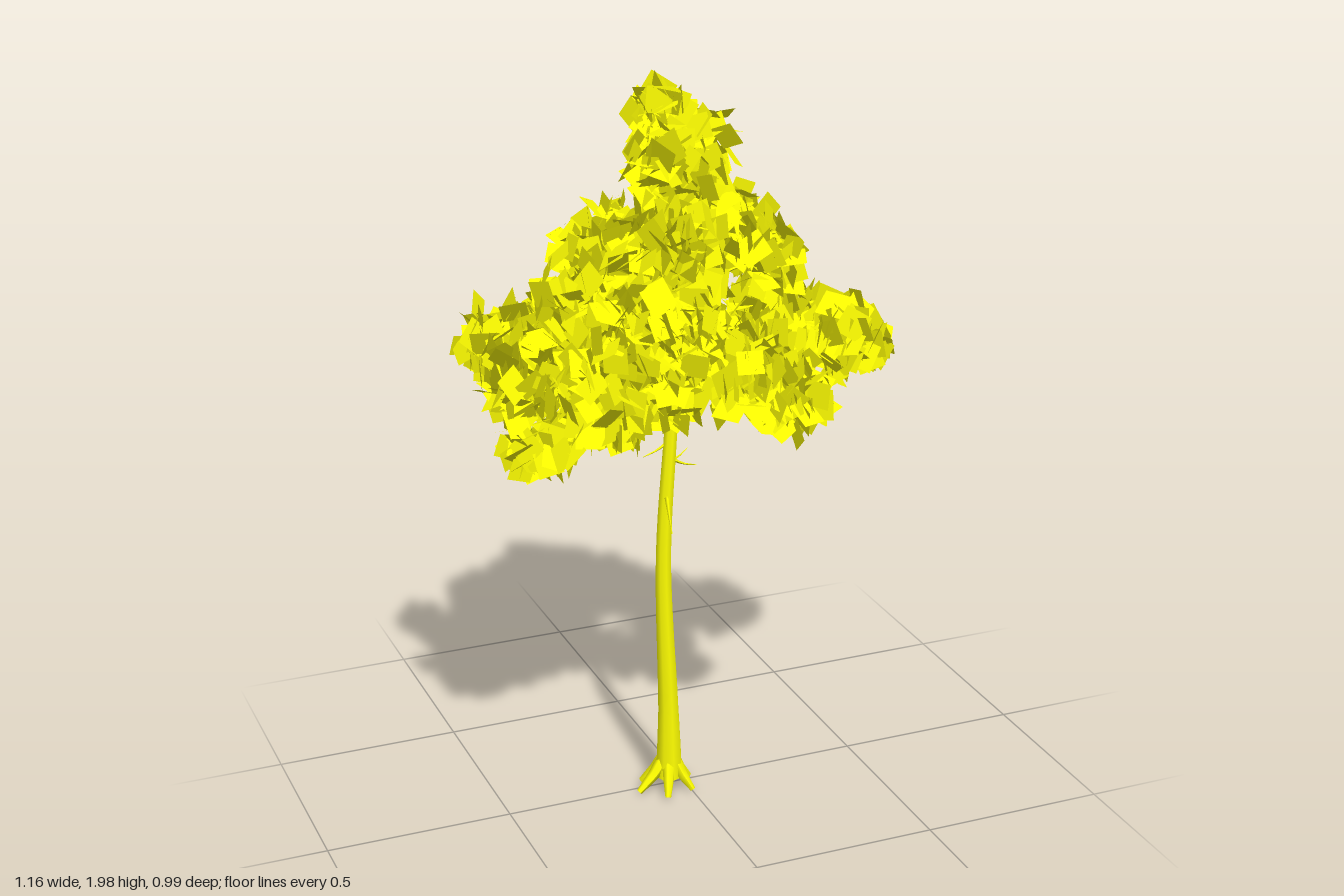
import * as THREE from 'three';
import { mergeGeometries } from 'three/addons/utils/BufferGeometryUtils.js';

const bark = new THREE.MeshStandardMaterial({ color: 0xffff00 });
const foliage = new THREE.MeshStandardMaterial({ color: 0xffff00, side: THREE.DoubleSide });

// Small seeded random generator, 0..1
let seed = 7;
function rand() {
  seed = (seed * 1664525 + 1013904223) % 4294967296;
  return seed / 4294967296;
}

// Tube along points whose radius follows a list of values from start to end
function taperedTube(points, radii, segments, sides) {
  const curve = new THREE.CatmullRomCurve3(points.map(p => new THREE.Vector3(...p)));
  const geo = new THREE.TubeGeometry(curve, segments, 1, sides);
  const pos = geo.attributes.position;
  const v = new THREE.Vector3();
  for (let i = 0; i <= segments; i++) {
    const c = curve.getPointAt(i / segments);
    const f = (i / segments) * (radii.length - 1);
    const k = Math.min(Math.floor(f), radii.length - 2);
    const r = THREE.MathUtils.lerp(radii[k], radii[k + 1], f - k);
    for (let j = 0; j <= sides; j++) {
      const n = i * (sides + 1) + j;
      v.fromBufferAttribute(pos, n).sub(c).multiplyScalar(r).add(c);
      pos.setXYZ(n, v.x, v.y, v.z);
    }
  }
  geo.computeVertexNormals();
  return geo;
}

// Round leaf clumps: centre x, y, z and outer radius
const clumps = [
  [-0.07, 1.89, -0.01, 0.10],
  [-0.09, 1.80, 0.09, 0.12],
  [0.05, 1.79, -0.01, 0.12],
  [-0.01, 1.66, 0.05, 0.17],
  [-0.13, 1.58, 0.14, 0.15],
  [0.06, 1.61, -0.12, 0.15],
  [0.19, 1.55, -0.08, 0.13],
  [0.20, 1.50, 0.05, 0.12],
  [-0.15, 1.50, -0.17, 0.15],
  [-0.06, 1.46, 0.04, 0.18],
  [-0.28, 1.45, 0.02, 0.15],
  [-0.23, 1.43, 0.27, 0.14],
  [-0.11, 1.40, 0.29, 0.13],
  [-0.44, 1.29, -0.15, 0.14],
  [-0.44, 1.27, 0.05, 0.14],
  [-0.43, 1.11, 0.11, 0.12],
  [-0.28, 1.23, 0.12, 0.16],
  [-0.27, 1.28, -0.12, 0.16],
  [-0.22, 1.14, 0.08, 0.12],
  [-0.10, 1.23, 0.10, 0.15],
  [-0.23, 1.21, -0.37, 0.13],
  [-0.13, 1.19, -0.38, 0.12],
  [-0.16, 1.29, -0.22, 0.13],
  [0.14, 1.24, 0.36, 0.13],
  [0.05, 1.27, 0.28, 0.14],
  [0.17, 1.20, 0.20, 0.13],
  [0.15, 1.27, -0.12, 0.13],
  [0.30, 1.30, -0.11, 0.14],
  [0.23, 1.24, 0.05, 0.13],
  [0.39, 1.28, 0.12, 0.13],
  [0.44, 1.26, -0.03, 0.12],
  [0.49, 1.24, 0.07, 0.08],
];

// Square leaf cards at random angles, filling each clump and denser near its skin
function buildLeaves() {
  const cards = [];
  const m = new THREE.Matrix4();
  const q = new THREE.Quaternion();
  const e = new THREE.Euler();
  for (const [x, y, z, r] of clumps) {
    const count = Math.round(4600 * r * r);
    for (let i = 0; i < count; i++) {
      const h = 2 * rand() - 1;
      const a = rand() * Math.PI * 2;
      const d = (r - 0.026) * Math.pow(rand(), 0.45);
      const w = Math.sqrt(1 - h * h);
      const p = new THREE.Vector3(x + d * w * Math.cos(a), y + d * h, z + d * w * Math.sin(a));
      q.setFromEuler(e.set(rand() * 6.28, rand() * 6.28, rand() * 6.28));
      const s = 0.057 + 0.02 * rand();
      m.compose(p, q, new THREE.Vector3(s, s, s));
      cards.push(new THREE.PlaneGeometry(1, 1).applyMatrix4(m));
    }
  }
  return mergeGeometries(cards);
}

export function createModel() {
  seed = 7;
  const group = new THREE.Group();
  const add = (name, geo, mat) => {
    const mesh = new THREE.Mesh(geo, mat);
    mesh.name = name;
    group.add(mesh);
  };

  // Slightly bent trunk, flared at the foot
  const trunk = [[-0.05, 0.05, 0.022], [-0.053, 0.25, 0.025], [-0.066, 0.7, 0.025],
    [-0.045, 1.05, 0.025], [-0.025, 1.3, 0.02], [-0.03, 1.6, 0.02], [-0.05, 1.88, 0.02]];
  add('trunk', taperedTube(trunk, [0.038, 0.029, 0.025, 0.022, 0.020, 0.018, 0.016, 0.012, 0.008, 0.003], 36, 8), bark);

  // Roots spreading from the foot: tip x, z
  const roots = [[-0.14, 0.03], [-0.08, 0.09], [0.0, 0.07], [0.02, -0.01], [-0.03, -0.07], [-0.11, -0.03]];
  const rootGeos = roots.map(([x, z]) => {
    const along = (t, y) => [-0.05 + (x + 0.05) * t, y, 0.022 + (z - 0.022) * t];
    return taperedTube([along(0.1, 0.12), along(0.45, 0.068), along(0.75, 0.04), along(1, 0.018)],
      [0.014, 0.018, 0.014, 0.008], 8, 6);
  });
  add('roots', mergeGeometries(rootGeos), bark);

  // A thin branch from the trunk into every clump below the crown tip
  const branchGeos = clumps.filter(c => c[1] < 1.7).map(([x, y, z]) => {
    const sy = Math.max(1.15, y - 0.12);
    return taperedTube([[-0.035, sy, 0.022],
      [-0.035 + (x + 0.035) * 0.5, (sy + y) / 2 + 0.02, 0.022 + (z - 0.022) * 0.5],
      [x, y, z]], [0.008, 0.005, 0.002], 6, 5);
  });
  add('branches', mergeGeometries(branchGeos), bark);

  // Bare twigs below the crown: start, end
  const twigs = [
    [[-0.06, 0.88, 0.03], [-0.1, 0.83, 0.17]],
    [[-0.045, 1.03, 0.025], [-0.12, 0.99, 0.02]],
    [[-0.05, 0.98, 0.025], [0.025, 0.95, 0.03]],
    [[-0.05, 0.97, 0.025], [0.02, 0.98, -0.02]],
    [[-0.04, 1.09, 0.025], [0.03, 1.085, 0.0]],
  ];
  const twigGeos = twigs.map(([a, b]) => taperedTube(
    [a, a.map((v, i) => (v + b[i]) / 2 - (i === 1 ? 0.006 : 0)), b], [0.006, 0.003, 0.001], 5, 4));
  add('twigs', mergeGeometries(twigGeos), bark);

  add('leaves', buildLeaves(), foliage);
  return group;
}
